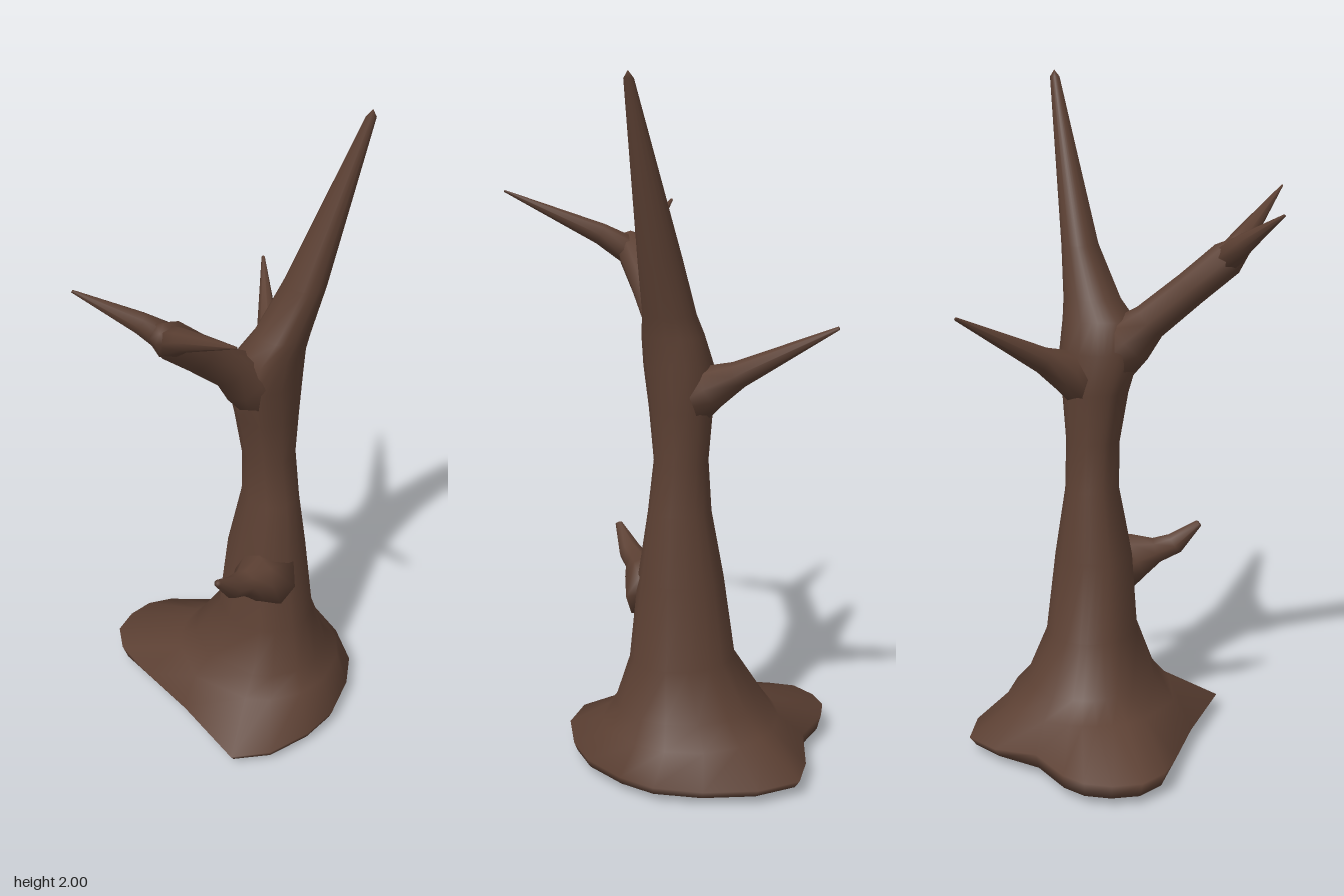
import * as THREE from 'three';

// Skin a list of closed rings (arrays of Vector3), with a pole at each end
function loft(rings, start, end) {
  const n = rings[0].length;
  const pos = [];
  const index = [];
  rings.forEach((ring) => ring.forEach((p) => pos.push(p.x, p.y, p.z)));
  const first = rings.length * n;
  pos.push(start.x, start.y, start.z, end.x, end.y, end.z);
  const top = (rings.length - 1) * n;
  for (let i = 0; i < n; i++) {
    const j = (i + 1) % n;
    for (let r = 0; r < rings.length - 1; r++) {
      const a = r * n + i, b = r * n + j;
      index.push(a, a + n, b, b, a + n, b + n);
    }
    index.push(first, i, j, first + 1, top + j, top + i);
  }
  const geometry = new THREE.BufferGeometry();
  geometry.setAttribute('position', new THREE.Float32BufferAttribute(pos, 3));
  geometry.setIndex(index);
  geometry.computeVertexNormals();
  return geometry;
}

// Tapered limb through stations [x, y, z, radius]
function limb(stations, sides = 8) {
  const pts = stations.map(([x, y, z]) => new THREE.Vector3(x, y, z));
  const rings = pts.map((p, k) => {
    const T = pts[Math.min(k + 1, pts.length - 1)].clone().sub(pts[Math.max(k - 1, 0)]).normalize();
    const U = new THREE.Vector3(0, 1, 0).addScaledVector(T, -T.y).normalize();
    const V = U.clone().cross(T);
    return Array.from({ length: sides }, (_, i) => {
      const t = (i / sides) * Math.PI * 2;
      return p.clone()
        .addScaledVector(U, Math.cos(t) * stations[k][3])
        .addScaledVector(V, Math.sin(t) * stations[k][3]);
    });
  });
  return loft(rings, pts[0], pts[pts.length - 1]);
}

export function createModel() {
  const group = new THREE.Group();
  const bark = new THREE.MeshStandardMaterial({ color: 0x5c4033 });
  bark.name = 'bark';
  const add = (name, geometry) => {
    const mesh = new THREE.Mesh(geometry, bark);
    mesh.name = name;
    group.add(mesh);
  };

  // Irregular root outline [x, z]
  const outline = [
    [0.455, -0.06], [0.415, 0.09], [0.345, 0.215], [0.255, 0.285], [0.12, 0.345], [0, 0.355],
    [-0.145, 0.33], [-0.245, 0.26], [-0.205, 0], [-0.19, -0.2], [-0.18, -0.335], [-0.13, -0.41],
    [-0.05, -0.44], [0.03, -0.44], [0.1, -0.405], [0.205, -0.3], [0.345, -0.25], [0.44, -0.19],
  ];
  const cx = 0.08, cz = 0.03;
  const angles = outline.map(([x, z]) => Math.atan2(z - cz, x - cx));
  const rim = outline.map(([x, z]) => new THREE.Vector3(x, z < -0.28 ? 0.07 : 0.05, z));
  const underside = outline.map(([x, z]) =>
    new THREE.Vector3(cx + (x - cx) * 0.95, 0.025, cz + (z - cz) * 0.97));

  // Trunk sections [y, xMin, xMax, zMin, zMax]
  const sections = [
    [0.14, -0.15, 0.365, -0.24, 0.285],
    [0.2, -0.09, 0.31, -0.195, 0.25],
    [0.34, -0.03, 0.253, -0.105, 0.205],
    [0.58, -0.012, 0.225, -0.072, 0.178],
    [0.78, 0.03, 0.195, -0.034, 0.15],
    [0.93, 0.027, 0.19, -0.025, 0.13],
    [1.08, 0.0, 0.2, -0.04, 0.14],
    [1.2, -0.035, 0.208, -0.045, 0.15],
    [1.29, -0.02, 0.202, -0.015, 0.157],
    [1.35, 0.03, 0.203, 0.015, 0.163],
    [1.5, 0.105, 0.217, 0.065, 0.19],
    [1.98, 0.247, 0.276, 0.228, 0.255],
  ];
  const rings = sections.map(([y, x0, x1, z0, z1]) => angles.map((t) => new THREE.Vector3(
    (x0 + x1) / 2 + Math.cos(t) * (x1 - x0) / 2, y,
    (z0 + z1) / 2 + Math.sin(t) * (z1 - z0) / 2)));
  add('trunk', loft([underside, rim, ...rings],
    new THREE.Vector3(0.09, 0, 0.1), new THREE.Vector3(0.264, 2, 0.244)));

  // Forked branch on the right
  add('forkedBranch', limb([
    [0.09, 1.14, 0.055, 0.085], [0.0, 1.235, 0.05, 0.078], [-0.06, 1.29, 0.05, 0.056],
    [-0.18, 1.39, 0.06, 0.052], [-0.28, 1.475, 0.07, 0.053], [-0.325, 1.515, 0.08, 0.03],
  ]));
  add('rearTwig', limb([
    [-0.27, 1.465, 0.07, 0.046], [-0.335, 1.525, 0.015, 0.03], [-0.455, 1.615, -0.103, 0.004],
  ]));
  add('frontTwig', limb([
    [-0.28, 1.465, 0.06, 0.046], [-0.318, 1.53, 0.165, 0.032], [-0.399, 1.658, 0.438, 0.003],
  ]));

  // Single branch at the rear left
  add('sideBranch', limb([
    [0.11, 1.09, 0.05, 0.085], [0.175, 1.15, -0.015, 0.062],
    [0.23, 1.19, -0.075, 0.038], [0.415, 1.337, -0.288, 0.005],
  ]));

  // Short broken stub low on the right
  add('stub', limb([
    [0.06, 0.52, 0.11, 0.1], [-0.015, 0.555, 0.12, 0.07], [-0.07, 0.57, 0.13, 0.04],
    [-0.125, 0.592, 0.14, 0.034], [-0.197, 0.657, 0.153, 0.011],
  ]));

  return group;
}
